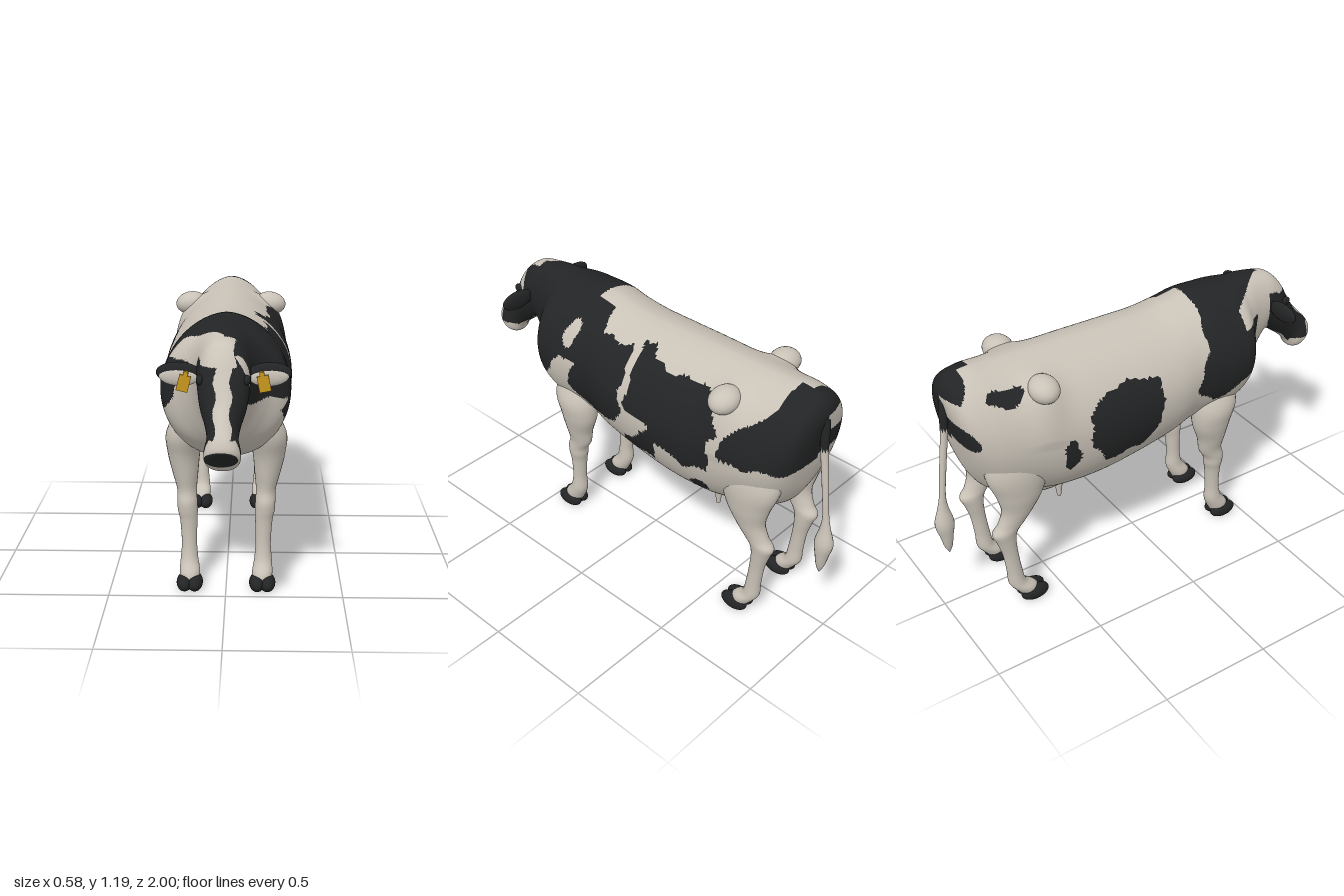
import * as THREE from 'three';

const mat = (name, color) => Object.assign(new THREE.MeshStandardMaterial({ color }), { name });

// Smooth interpolation through rows of numbers, u from 0 to 1
function rowAt(rows, u) {
  const f = u * (rows.length - 1), i = Math.min(Math.floor(f), rows.length - 2), t = f - i;
  const r = k => rows[Math.max(0, Math.min(rows.length - 1, i + k))];
  const [a, b, c, d] = [r(-1), r(0), r(1), r(2)];
  return b.map((_, k) => b[k] + 0.5 * t * (c[k] - a[k] + t * (2 * a[k] - 5 * b[k] + 4 * c[k] - d[k]
    + t * (3 * (b[k] - c[k]) + d[k] - a[k]))));
}

// Closed rings swept along u; isDark sorts triangles into material group 0 (light) or 1 (dark)
function loft(rows, ring, nu, nv, isDark = () => false) {
  const pos = [], faces = [[], []];
  for (let i = 0; i <= nu; i++) {
    const row = rowAt(rows, i / nu);
    for (let j = 0; j < nv; j++) pos.push(...ring(row, j / nv * Math.PI * 2));
  }
  const addFace = (...tri) => {
    const c = [0, 1, 2].map(k => tri.reduce((sum, v) => sum + pos[v * 3 + k] / 3, 0));
    faces[isDark(...c) ? 1 : 0].push(...tri);
  };
  for (let i = 0; i < nu; i++) for (let j = 0; j < nv; j++) {
    const n = (j + 1) % nv, a = i * nv + j, b = a + nv, c = i * nv + n, d = c + nv;
    if ((i + j) % 2) { addFace(a, b, c); addFace(c, b, d); } else { addFace(a, b, d); addFace(a, d, c); }
  }
  const g = new THREE.BufferGeometry();
  g.setAttribute('position', new THREE.Float32BufferAttribute(pos, 3));
  g.setIndex([...faces[0], ...faces[1]]);
  g.addGroup(0, faces[0].length, 0);
  g.addGroup(faces[0].length, faces[1].length, 1);
  g.computeVertexNormals();
  return g;
}

// Body rows: top z, top y, bottom z, bottom y, half width (rump to muzzle)
const BODY = [
  [-.91, 1.04, -.885, .9, 0], [-.915, 1.1, -.87, .8, .1], [-.885, 1.155, -.835, .68, .175],
  [-.8, 1.175, -.77, .58, .22], [-.68, 1.17, -.67, .53, .248], [-.5, 1.165, -.5, .495, .272],
  [-.3, 1.16, -.3, .49, .288], [-.1, 1.155, -.1, .515, .288], [.08, 1.155, .08, .55, .278],
  [.2, 1.175, .2, .58, .26], [.3, 1.19, .3, .59, .266], [.4, 1.185, .41, .6, .27],
  [.48, 1.18, .49, .65, .256], [.54, 1.18, .55, .7, .182], [.6, 1.178, .6, .765, .138],
  [.66, 1.17, .66, .84, .115], [.73, 1.152, .7, .87, .105], [.785, 1.103, .745, .855, .1],
  [.828, 1.035, .785, .825, .09], [.878, .957, .83, .79, .07], [.937, .89, .87, .75, .06],
  [.983, .84, .895, .71, .07], [1, .8, .925, .703, .06], [.985, .775, .95, .73, 0],
];
const bodyRing = ([zt, yt, zb, yb, w], a) => {
  const t = (1 - Math.cos(a)) / 2, s = Math.sin(a);
  // the trunk narrows towards the spine, and between the thighs
  const trunk = THREE.MathUtils.smoothstep(.62 - zt, 0, .15), rear = THREE.MathUtils.smoothstep(-zt, .45, .7);
  const power = .88 + trunk * (t < .5 ? .28 : .04 + .3 * rear);
  const x = Math.max(w, 0) * Math.sign(s) * Math.abs(s) ** power;
  const z = zt + (zb - zt) * t;
  // swelling under the hip bones
  const hip = t < .5 ? Math.exp(-(((Math.abs(x) - .2) / .07) ** 2) - ((z + .55) / .075) ** 2) : 0;
  return [x * (1 + .06 * hip), yt + (yb - yt) * t + .035 * hip, z];
};

// Hide patches as outlines in (z, y): left flank, then right flank
const LEFT = [
  [[.75, 1.25], [.17, 1.25], [.16, 1.13], [.15, 1.08], [-.02, 1.085], [-.05, .99], [-.03, .91], [-.06, .83],
    [-.02, .75], [.14, .71], [.25, .73], [.31, .8], [.245, .91], [.34, .94], [.4, .83], [.46, .785],
    [.51, .83], [.47, .88], [.68, .895], [.75, .94]],
  [[-.06, 1.11], [-.12, 1.13], [-.15, 1.08], [-.29, 1.07], [-.42, 1.09], [-.53, 1.04], [-.565, .96], [-.53, .91],
    [-.53, .75], [-.4, .72], [-.26, .77], [-.22, .65], [-.03, .64], [-.05, .69], [-.155, .75], [-.22, .83],
    [-.075, .865], [-.085, .99]],
  [[-.8, 1.25], [-.95, 1.25], [-.95, .87], [-.85, .85], [-.58, .83], [-.59, .94], [-.69, 1.03], [-.77, 1.1]],
];
const RIGHT = [
  [[.55, 1.25], [.27, 1.25], [.24, 1], [.17, .85], [.27, .74], [.4, .78], [.5, .85], [.58, 1.03]],
  [[-.02, .97], [-.12, 1.01], [-.28, 1], [-.38, .92], [-.38, .78], [-.3, .67], [-.12, .68], [-.03, .78]],
  [[-.81, 1.25], [-.95, 1.25], [-.95, 1.07], [-.87, 1.08]],
];
const inside = (poly, z, y) => poly.reduce((hit, [z1, y1], i) => {
  const [z2, y2] = poly[(i + 1) % poly.length];
  return (y1 > y) !== (y2 > y) && z < (z2 - z1) * (y - y1) / (y2 - y1) + z1 ? !hit : hit;
}, false);
const spot = (z, y, cz, cy, rz, ry) => ((z - cz) / rz) ** 2 + ((y - cy) / ry) ** 2 < 1;

function hideIsDark(x, y, z) {
  if (z > 0.68 && y > 0.7 && z + y * 0.55 > 1.2) { // face: blaze, muzzle and nose
    if (z > 0.94 && spot(x, y, -.004, .76, .064, .036)) return true;
    if (z > 0.88 && y < 0.765 || z > 0.962 && y < 0.835) return false;
    if (x > 0 && spot(z, y, .765, 1.05, .018, .06)) return false;
    const edge = 0.006 * Math.sin(y * 60);
    if (y > 1.07) return !(x > -0.09 && x < 0.045 + edge) && !spot(x, y, -.08, 1.1, .02, .02);
    return x < -0.032 + edge || x > 0.03 + edge;
  }
  const zz = z + 0.007 * Math.sin(y * 47 + 1), yy = y + 0.009 * Math.sin(z * 43);
  // light wedge on the right of the neck
  if (x < 0 && z > 0.45 && y > 1.04) return x > -0.17 + (z - 0.45) * 0.8;
  if (x >= 0) {
    if (spot(zz, yy, .295, 1.04, .033, .06)) return false;
    if (x < .07 && y > 1 && zz > 0 && zz < .265) return false; // light spine
    return spot(zz, yy, -.46, .615, .05, .035) || LEFT.some(p => inside(p, zz, yy));
  }
  return spot(zz, yy, -.47, .76, .035, .08) || spot(zz, yy, -.7, 1.08, .08, .03)
    || spot(zz, yy, -.9, .93, .06, .05) || RIGHT.some(p => inside(p, zz, yy));
}

// Limb rows: y, x, z, radius x, radius z (top to bottom)
const FRONT_LEG = [
  [.82, .13, .33, .05, .11], [.69, .174, .325, .08, .115], [.59, .182, .312, .07, .095], [.5, .176, .32, .055, .07],
  [.43, .17, .322, .043, .058], [.38, .168, .342, .043, .05], [.34, .166, .345, .043, .046],
  [.29, .162, .348, .037, .037], [.19, .16, .352, .033, .033], [.12, .16, .358, .038, .042],
  [.07, .157, .385, .044, .052], [.03, .157, .4, .04, .045],
];
const HIND_LEG = [
  [.94, .1, -.67, .07, .12], [.74, .15, -.672, .08, .15], [.61, .162, -.67, .067, .112], [.52, .16, -.685, .052, .076],
  [.45, .155, -.72, .042, .062], [.41, .152, -.75, .041, .06], [.36, .15, -.747, .037, .045],
  [.28, .15, -.733, .031, .035], [.18, .15, -.72, .031, .035], [.11, .15, -.71, .037, .04],
  [.07, .153, -.675, .044, .052], [.03, .153, -.65, .04, .045],
];
const TAIL = [
  [1.13, 0, -.87, .035, .02], [1.04, 0, -.9, .026, .02], [.9, 0, -.912, .018, .016], [.75, 0, -.932, .015, .015],
  [.6, 0, -.95, .014, .014], [.53, 0, -.955, .02, .024], [.45, 0, -.956, .036, .043], [.38, 0, -.953, .03, .03],
  [.32, 0, -.95, .018, .018], [.28, 0, -.948, .001, .001],
];
const limbRing = s => ([y, x, z, rx, rz], a) => [s * x + rx * Math.sin(a), y, z + rz * Math.cos(a)];

export function createModel() {
  const light = mat('cream hide', 0xc9c2b7), dark = mat('black hide', 0x232425), gold = mat('yellow tag', 0xc8981c);
  const hide = [light, dark];
  const model = new THREE.Group();
  model.name = 'cow';
  const add = (name, geo, material, p = [0, 0, 0], r = [0, 0, 0]) => {
    const m = new THREE.Mesh(geo, material);
    m.name = name;
    m.position.set(...p);
    m.rotation.set(...r);
    model.add(m);
  };
  const ball = (rx, ry, rz) => new THREE.SphereGeometry(1, 24, 16).scale(rx, ry, rz);

  add('bodyAndHead', loft(BODY, bodyRing, 345, 140, hideIsDark), hide);
  add('tail', loft(TAIL, limbRing(1), 60, 18, (x, y) => y > 0.92), hide);

  // Udder and teats
  add('udder', ball(.108, .12, .2), light, [0, .56, -.46]);
  for (const x of [-.045, .045]) for (const z of [-.42, -.595])
    add('teat', new THREE.CylinderGeometry(.022, .009, .1, 14), light, [x, .44, z]);

  // Hoof claw: an ellipsoid with a flat sole
  const claw = ball(.035, .037, .067);
  const cp = claw.attributes.position;
  for (let i = 0; i < cp.count; i++) cp.setY(i, Math.max(cp.getY(i), -.028));
  claw.computeVertexNormals();

  for (const s of [1, -1]) {
    const side = s > 0 ? 'left' : 'right';
    add(side + 'FrontLeg', loft(FRONT_LEG, limbRing(s), 66, 28), light);
    add(side + 'HindLeg', loft(HIND_LEG, limbRing(s), 66, 28), light);
    for (const d of [-.022, .022]) {
      add(side + 'FrontHoof', claw, dark, [s * .157 + d, .028, .408]);
      add(side + 'HindHoof', claw, dark, [s * .153 + d, .028, -.638]);
    }
    add(side + 'HipBone', ball(.075, .054, .064), light, [s * .192, 1.083, -.55], [0, 0, -s * .15]);
    add(side + 'Eye', ball(.014, .02, .025), dark, [s * .09, 1.02, .785]);

    // Ear with pale inner face and tag
    add(side + 'Ear', ball(.09, .044, .02), dark, [s * .173, 1.026, .7], [0, 0, s * .05]);
    add(side + 'InnerEar', ball(.078, .038, .018), light, [s * .174, 1.014, .706], [0, 0, s * .05]);
    add(side + 'EarTag', new THREE.BoxGeometry(.046, .064, .008), gold, [s * .155, .992, .73], [0, 0, s > 0 ? .2 : -.25]);
    add(side + 'TagStud', new THREE.CylinderGeometry(.01, .01, .02, 14), gold, [s * .146, 1.03, .726], [Math.PI / 2, 0, 0]);
  }
  return model;
}
